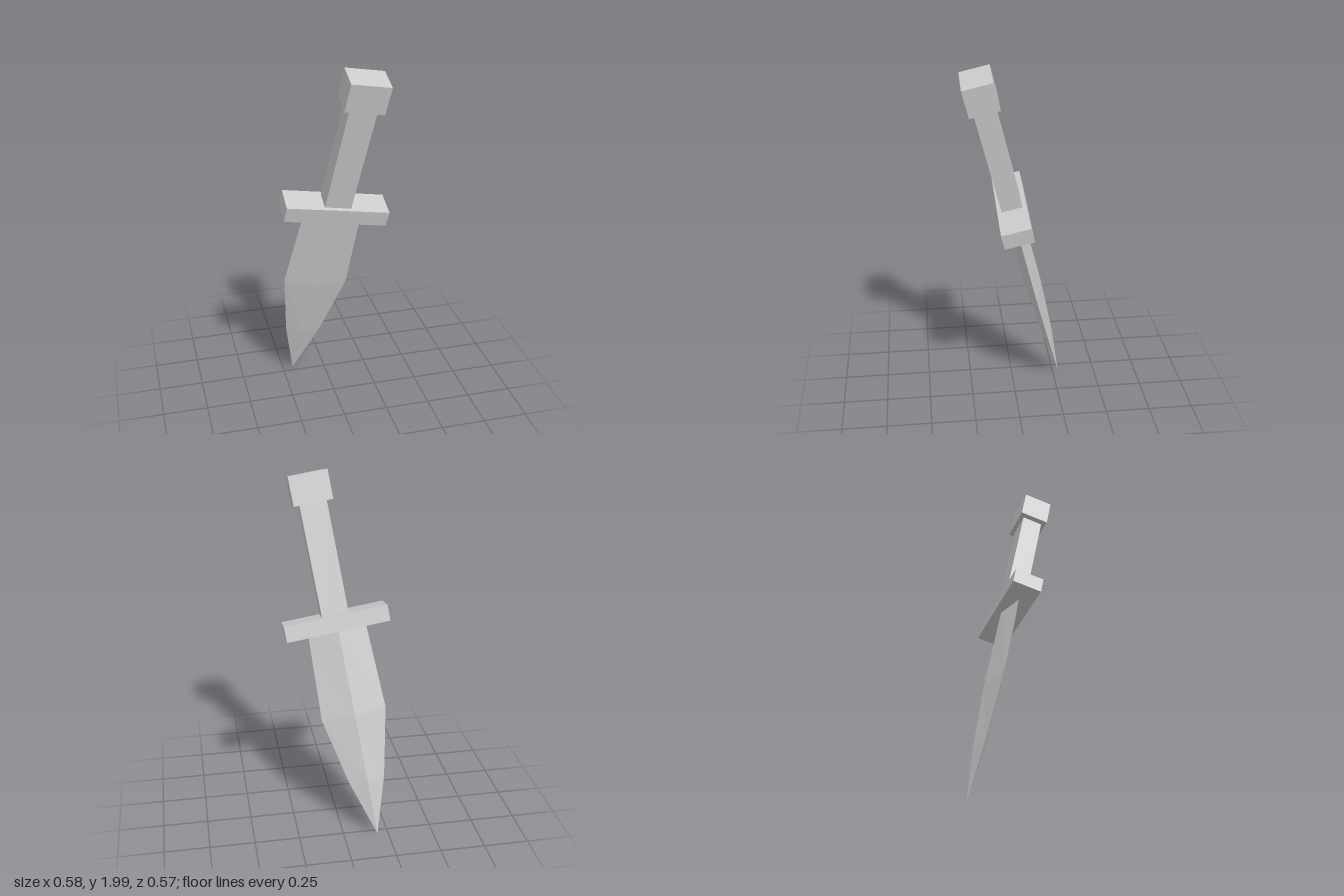
import * as THREE from 'three';

const material = new THREE.MeshStandardMaterial({ color: 0xcccccc, flatShading: true });

// Box whose underside sits at the given height along the dagger's axis
function block(name, width, height, depth, base) {
  const mesh = new THREE.Mesh(new THREE.BoxGeometry(width, height, depth), material);
  mesh.position.y = base + height / 2;
  mesh.name = name;
  return mesh;
}

// Diamond cross-sections [height, half width, half thickness], listed from the top down
function diamondLoft(sections) {
  const rings = sections.map(([y, w, t]) => [[w, y, 0], [0, y, t], [-w, y, 0], [0, y, -t]]);
  const points = [];
  for (let s = 0; s < rings.length - 1; s++) {
    for (let i = 0; i < 4; i++) {
      const j = (i + 1) % 4;
      const a = rings[s][i], b = rings[s][j], c = rings[s + 1][i], d = rings[s + 1][j];
      points.push(...a, ...b, ...c);
      if (sections[s + 1][1] > 0) points.push(...b, ...d, ...c);
    }
  }
  const geometry = new THREE.BufferGeometry();
  geometry.setAttribute('position', new THREE.Float32BufferAttribute(points, 3));
  geometry.computeVertexNormals();
  return geometry;
}

export function createModel() {
  const model = new THREE.Group();
  model.name = 'dagger';

  // Dagger built upright, with the top of the guard at its origin
  const dagger = new THREE.Group();
  dagger.name = 'tiltedDagger';
  dagger.add(
    block('pommel', 0.209, 0.155, 0.16, 0.6),
    block('grip', 0.145, 0.62, 0.113, -0.01),
    block('guard', 0.564, 0.088, 0.16, -0.088)
  );

  // Blade: widens below the guard, then tapers to a point
  const blade = new THREE.Mesh(diamondLoft([
    [-0.06, 0.158, 0.044],
    [-0.57, 0.18, 0.045],
    [-0.956, 0.1, 0.03],
    [-1.286, 0, 0],
  ]), material);
  blade.name = 'blade';
  dagger.add(blade);

  // Lean the whole dagger sideways and forward
  const up = new THREE.Vector3(0.152, 0.959, 0.24).normalize();
  const side = new THREE.Vector3(up.y, -up.x, 0).normalize();
  const front = new THREE.Vector3().crossVectors(side, up);
  dagger.quaternion.setFromRotationMatrix(new THREE.Matrix4().makeBasis(side, up, front));
  dagger.position.set(0.005, 1.242, 0.025);
  model.add(dagger);
  return model;
}
